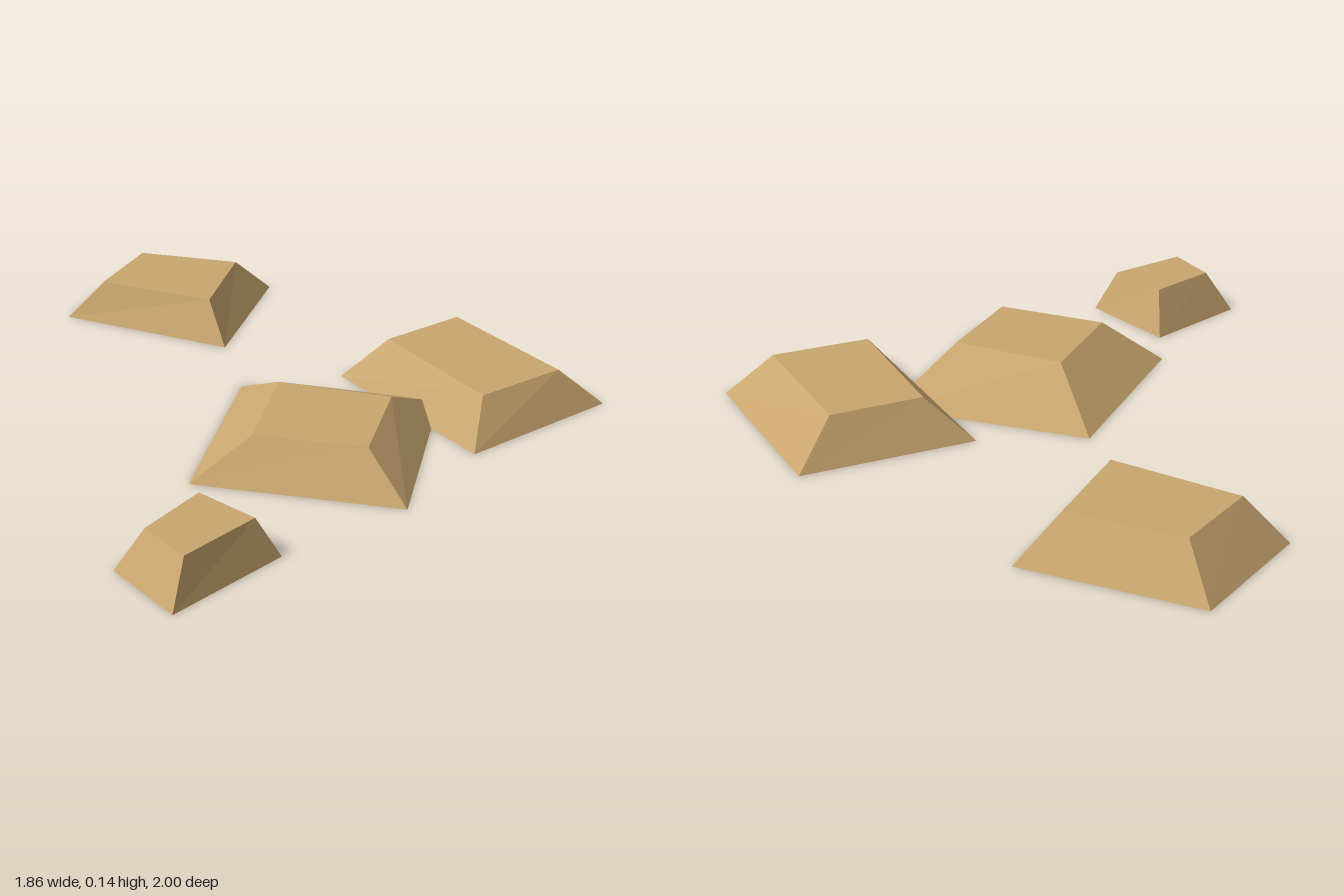
import * as THREE from 'three';

// Four-sided slab with sloping sides; corners [x, z] run back left, back right, front right, front left
function slabGeometry(base, top, height) {
  const b = base.map(([x, z]) => [x, 0, z]);
  const t = top.map(([x, z]) => [x, height, z]);
  const positions = [];
  const quad = (p, q, r, s) => positions.push(...p, ...q, ...r, ...p, ...r, ...s);
  quad(t[3], t[2], t[1], t[0]);
  quad(b[0], b[1], b[2], b[3]);
  for (let i = 0; i < 4; i++) {
    const j = (i + 1) % 4;
    quad(b[j], b[i], t[i], t[j]);
  }
  const geometry = new THREE.BufferGeometry();
  geometry.setAttribute('position', new THREE.Float32BufferAttribute(positions, 3));
  geometry.computeVertexNormals();
  return geometry;
}

const slabs = [
  {
    name: 'backLeftStone', height: 0.132,
    base: [[-0.845, -1], [-0.31, -1], [-0.343, -0.507], [-0.93, -0.605]],
    top: [[-0.75, -0.9], [-0.407, -0.9], [-0.417, -0.588], [-0.807, -0.642]],
  },
  {
    name: 'backRightStone', height: 0.132,
    base: [[0.44, -0.792], [0.925, -0.41], [0.573, -0.003], [0.078, -0.398]],
    top: [[0.415, -0.65], [0.78, -0.355], [0.573, -0.135], [0.225, -0.44]],
  },
  {
    name: 'middleStone', height: 0.136,
    base: [[-0.22, -0.255], [0.417, -0.307], [0.43, 0.35], [-0.22, 0.36]],
    top: [[-0.05, -0.07], [0.305, -0.055], [0.295, 0.257], [-0.05, 0.264]],
  },
  {
    name: 'smallFrontStone', height: 0.132,
    base: [[-0.155, 0.515], [0.135, 0.665], [-0.08, 0.997], [-0.295, 0.837]],
    top: [[-0.117, 0.6], [0.067, 0.69], [-0.07, 0.91], [-0.21, 0.807]],
  },
];

export function createModel() {
  const group = new THREE.Group();
  group.name = 'steppingStones';
  const sandstone = new THREE.MeshStandardMaterial({ color: 0xc9a66f });
  sandstone.name = 'sandstone';
  for (const { name, base, top, height } of slabs) {
    const mesh = new THREE.Mesh(slabGeometry(base, top, height), sandstone);
    mesh.name = name;
    group.add(mesh);
  }
  return group;
}
